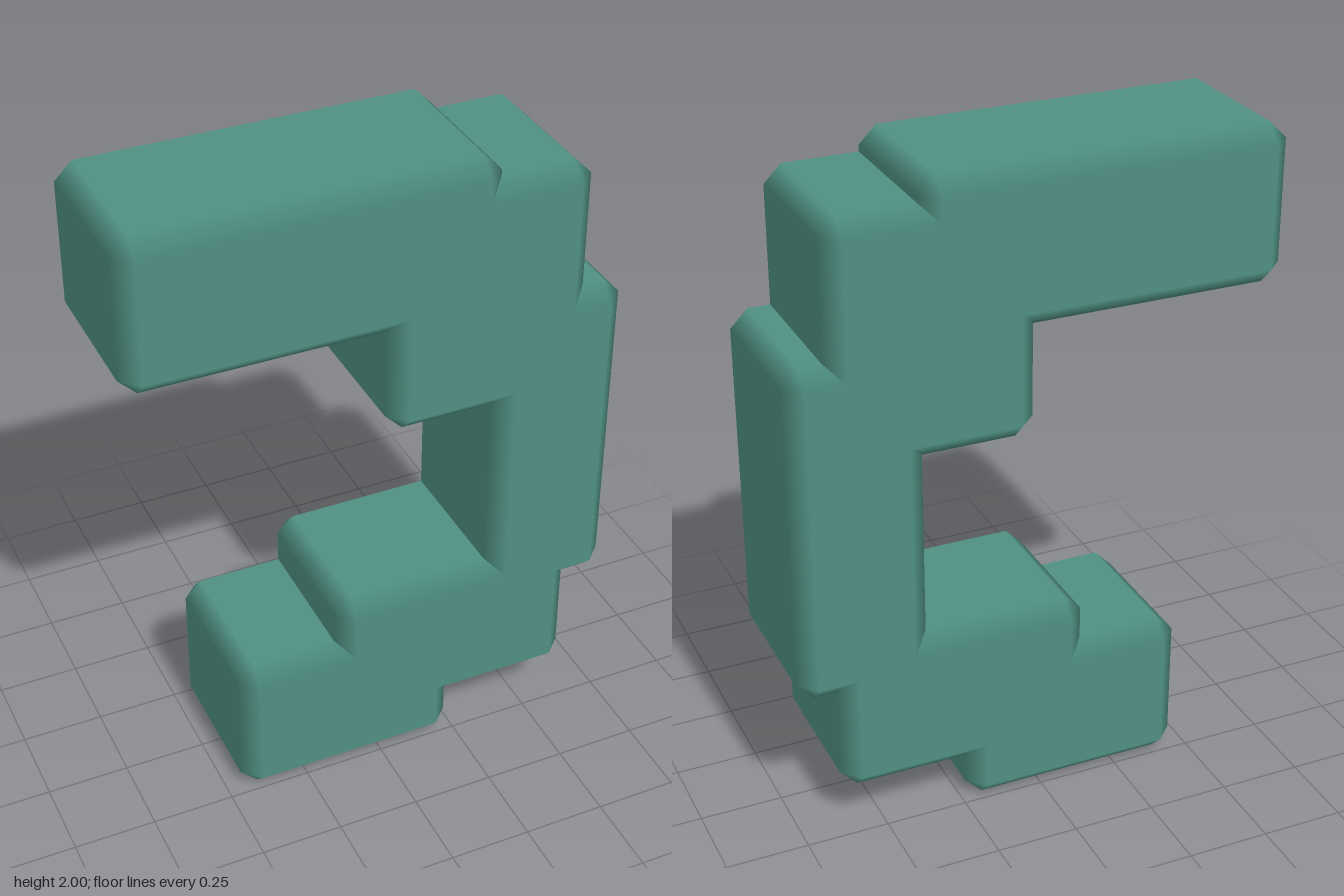
import * as THREE from 'three';

const BEVEL = 0.053;
const DEPTH = 0.53;

// Box with one chamfer per edge; normals blend softly from face to face
function chamferedBox(w, h, d, c) {
  const half = [w / 2, h / 2, d / 2];
  const positions = [], normals = [], index = [];
  const points = [];

  // Three vertices at each corner, one for each adjoining face
  for (let corner = 0; corner < 8; corner++) {
    const sign = [0, 1, 2].map((a) => ((corner >> a) & 1 ? 1 : -1));
    for (let axis = 0; axis < 3; axis++) {
      const p = sign.map((s, a) => s * (half[a] - (a === axis ? 0 : c)));
      points.push(new THREE.Vector3(...p));
      positions.push(...p);
      normals.push(...sign.map((s, a) => (a === axis ? s : 0)));
    }
  }

  // Triangle turned to face away from the centre
  const tri = (i, j, k) => {
    const u = points[j].clone().sub(points[i]);
    const v = points[k].clone().sub(points[i]);
    if (u.cross(v).dot(points[i]) > 0) index.push(i, j, k);
    else index.push(i, k, j);
  };
  const quad = (i, j, k, l) => { tri(i, j, k); tri(i, k, l); };
  const id = (corner, axis) => corner * 3 + axis;

  for (let a = 0; a < 3; a++) {
    const A = 1 << a, b = (a + 1) % 3, e = (a + 2) % 3;
    const B = 1 << b, E = 1 << e;
    // Flat faces
    for (const s of [0, A]) quad(id(s, a), id(s | B, a), id(s | B | E, a), id(s | E, a));
    // Chamfers along this axis
    for (const s of [0, B, E, B | E]) quad(id(s, b), id(s | A, b), id(s | A, e), id(s, e));
  }
  // Corner triangles
  for (let corner = 0; corner < 8; corner++) tri(id(corner, 0), id(corner, 1), id(corner, 2));

  const geometry = new THREE.BufferGeometry();
  geometry.setAttribute('position', new THREE.Float32BufferAttribute(positions, 3));
  geometry.setAttribute('normal', new THREE.Float32BufferAttribute(normals, 3));
  geometry.setIndex(index);
  return geometry;
}

export function createModel() {
  const model = new THREE.Group();
  model.name = 'steppedArch';
  const green = new THREE.MeshStandardMaterial({ color: 0x4f8f82 });
  green.name = 'sea green';

  // Overlapping blocks: name, left x, right x, bottom y, top y
  const blocks = [
    ['topArm', -0.75, 0.353, 1.525, 2.0],
    ['upperBend', 0.018, 0.63, 1.19, 1.928],
    ['spine', 0.352, 0.75, 0.483, 1.52],
    ['lowerBend', -0.142, 0.63, 0.147, 0.623],
    ['bottomFoot', -0.455, 0.235, 0.0, 0.47],
  ];
  for (const [name, x0, x1, y0, y1] of blocks) {
    const mesh = new THREE.Mesh(chamferedBox(x1 - x0, y1 - y0, DEPTH, BEVEL), green);
    mesh.name = name;
    mesh.position.set((x0 + x1) / 2, (y0 + y1) / 2, 0);
    model.add(mesh);
  }
  return model;
}
